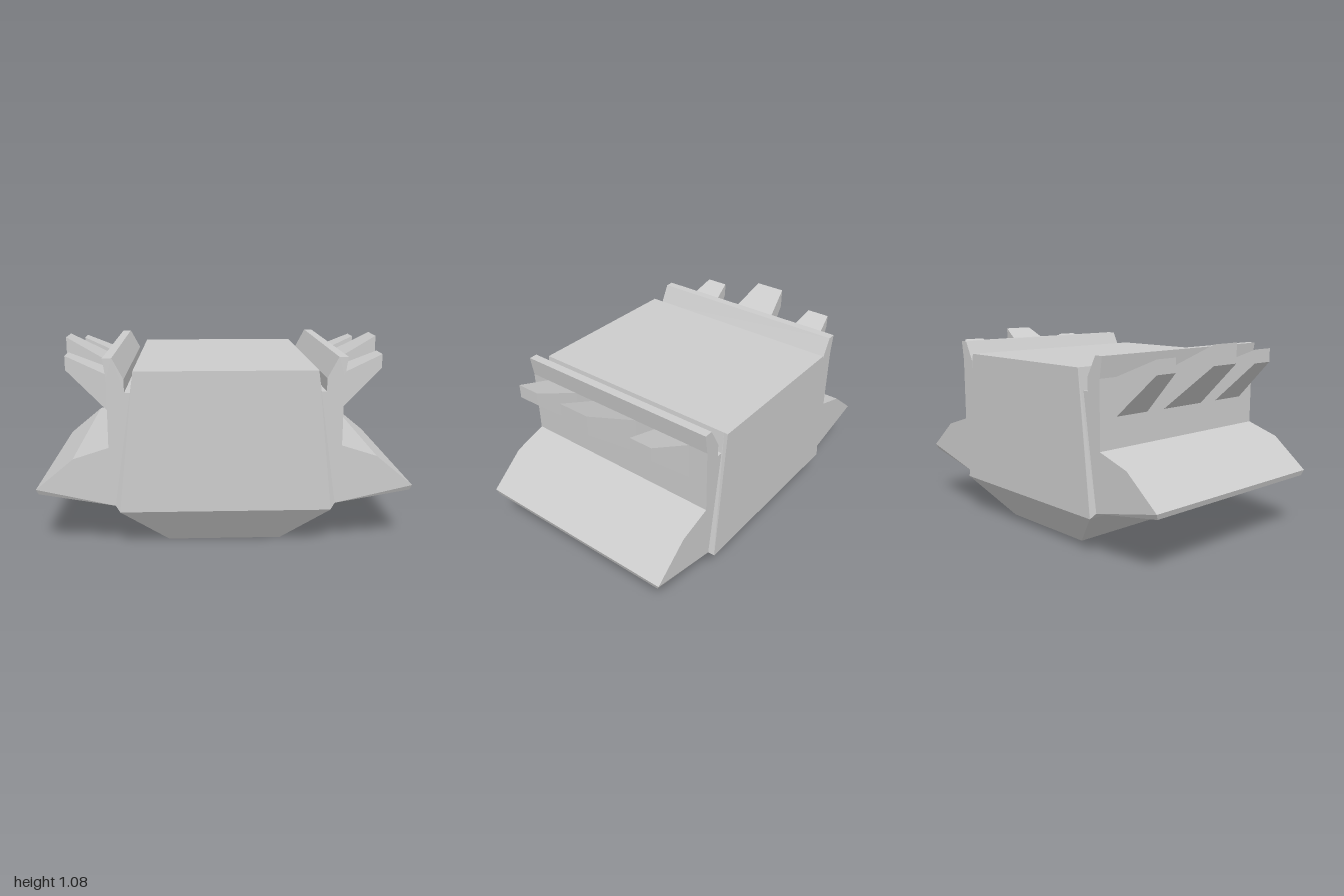
import * as THREE from 'three';

const material = new THREE.MeshStandardMaterial({ color: 0xcccccc, flatShading: true });

function mesh(name, geometry) {
  const m = new THREE.Mesh(geometry, material);
  m.name = name;
  return m;
}

// Closed solid through equal-length loops, wound counter-clockwise about the loft direction
function loft(loops) {
  const pos = [];
  const tri = (a, b, c) => {
    const v = [a, b, c].map((p) => new THREE.Vector3(...p));
    const area = v[1].clone().sub(v[0]).cross(v[2].clone().sub(v[0])).length();
    if (area > 1e-8) pos.push(...a, ...b, ...c);
  };
  const n = loops[0].length;
  for (let k = 0; k + 1 < loops.length; k++) {
    for (let i = 0; i < n; i++) {
      const j = (i + 1) % n, lo = loops[k], hi = loops[k + 1];
      tri(lo[i], lo[j], hi[j]);
      tri(lo[i], hi[j], hi[i]);
    }
  }
  const first = loops[0], last = loops[loops.length - 1];
  for (let i = 1; i + 1 < n; i++) {
    tri(first[0], first[i + 1], first[i]);
    tri(last[0], last[i], last[i + 1]);
  }
  const g = new THREE.BufferGeometry();
  g.setAttribute('position', new THREE.Float32BufferAttribute(pos, 3));
  g.computeVertexNormals();
  return g;
}

const level = (y, x, z) => [[x, y, z], [x, y, -z], [-x, y, -z], [-x, y, z]];
const upright = (x, y0, y1, z, w) => [[x, y0, z - w], [x, y1, z - w], [x, y1, z + w], [x, y0, z + w]];

// Thin bevel between the body and the side panel
function bevelGeometry() {
  const end = (z) => [[0.56, 0.22, z], [0.56, 0.22, z], [0.475, 0.975, z]];
  const mid = (z) => [[0.56, 0.22, z], [0.585, 0.25, z], [0.475, 0.975, z]];
  return loft([end(-0.62), mid(-0.6), mid(0.6), end(0.62)]);
}

// Side panel with lower flange and upper lip
function panelGeometry() {
  const profile = [
    [0.585, 0.25], [0.99, 0.315], [1, 0.345], [0.8, 0.51], [0.612, 0.57], [0.612, 0.93],
    [0.628, 1.04], [0.58, 1.04], [0.522, 0.93], [0.522, 0.86], [0.48, 0.86], [0.52, 0.3],
  ].map(([x, y]) => new THREE.Vector2(x, y));
  const g = new THREE.ExtrudeGeometry(new THREE.Shape(profile), { depth: 1.2, bevelEnabled: false });
  g.translate(0, 0, -0.6);
  // draw in the ends of the flange's lower edge
  const p = g.attributes.position;
  for (let i = 0; i < p.count; i++) {
    if (Math.abs(p.getY(i) - 0.315) < 0.001) p.setZ(i, p.getZ(i) * 0.975);
  }
  g.computeVertexNormals();
  return g;
}

function createSide(name) {
  const side = new THREE.Group();
  side.name = name;
  side.add(mesh('bevel', bevelGeometry()), mesh('sidePanel', panelGeometry()));
  // Tapered prongs: one large between two small
  side.add(mesh('centreProng', loft([
    upright(0.61, 0.73, 0.93, 0, 0.148), upright(0.89, 0.975, 1.083, 0, 0.09),
  ])));
  for (const z of [-0.381, 0.381]) {
    side.add(mesh('outerProng', loft([
      upright(0.61, 0.73, 0.93, z, 0.109), upright(0.842, 0.955, 1.03, z, 0.066),
    ])));
  }
  return side;
}

export function createModel() {
  const model = new THREE.Group();
  model.name = 'armouredBlock';
  model.add(mesh('body', loft([level(0, 0.31, 0.463), level(0.22, 0.56, 0.622), level(0.975, 0.475, 0.622)])));
  const left = createSide('leftSide');
  const right = createSide('rightSide');
  right.rotation.y = Math.PI;
  model.add(left, right);
  return model;
}
